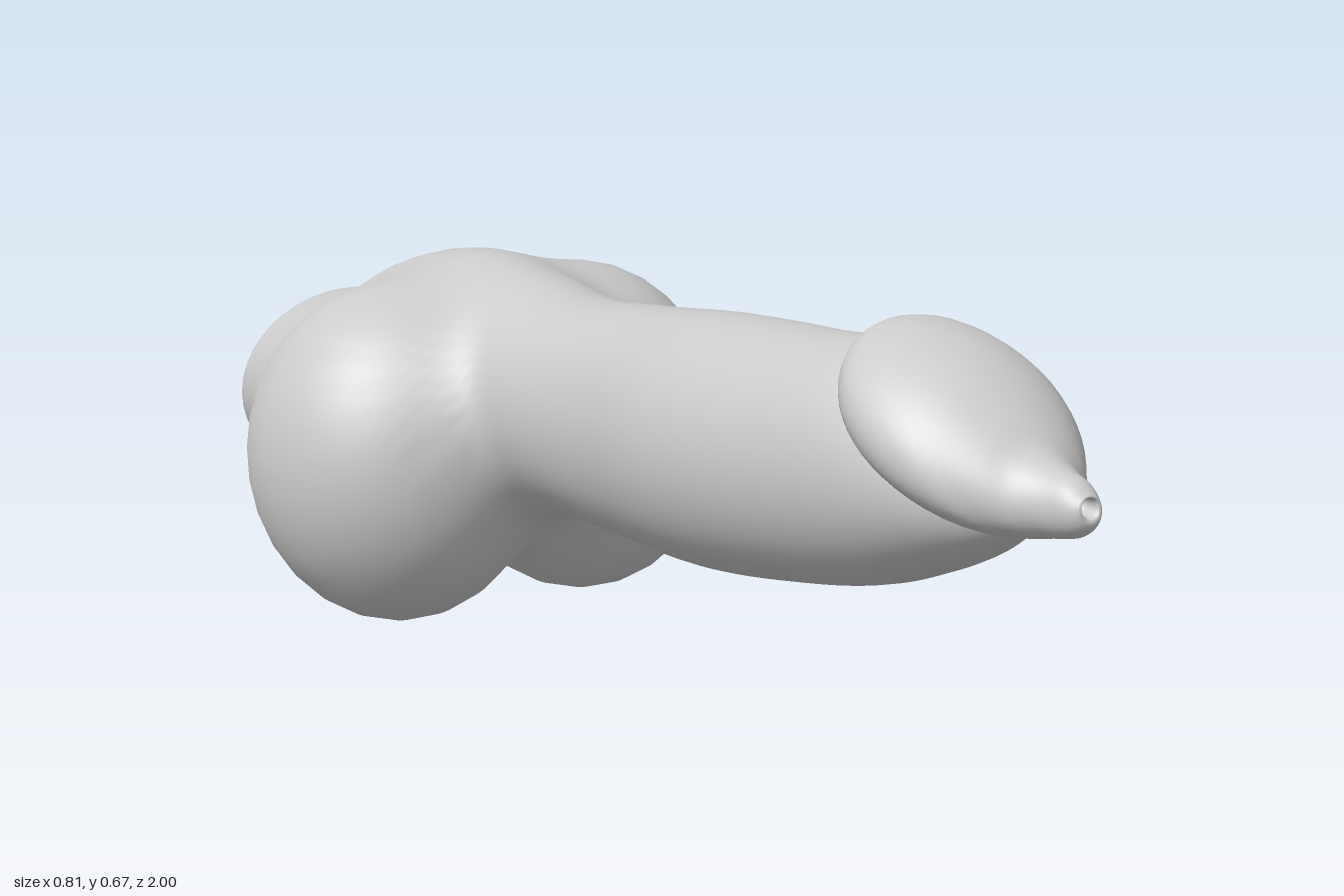
import * as THREE from 'three';

const SIDES = 48;

// Closed skin over rings of points, with a fan at each end
function loft(rings, name) {
  const pos = [], idx = [], n = SIDES, last = (rings.length - 1) * n;
  for (const ring of rings) for (const p of ring) pos.push(p.x, p.y, p.z);
  for (let i = 0; i < rings.length - 1; i++) {
    for (let j = 0; j < n; j++) {
      const a = i * n + j, b = i * n + (j + 1) % n;
      idx.push(a, b, a + n, b, b + n, a + n);
    }
  }
  const addCentre = (ring) => {
    const c = new THREE.Vector3();
    ring.forEach((p) => c.add(p));
    c.divideScalar(n);
    pos.push(c.x, c.y, c.z);
    return pos.length / 3 - 1;
  };
  const start = addCentre(rings[0]), end = addCentre(rings[rings.length - 1]);
  for (let j = 0; j < n; j++) {
    const k = (j + 1) % n;
    idx.push(start, k, j, end, last + j, last + k);
  }
  const geo = new THREE.BufferGeometry();
  geo.setAttribute('position', new THREE.Float32BufferAttribute(pos, 3));
  geo.setIndex(idx);
  geo.computeVertexNormals();
  const mesh = new THREE.Mesh(geo, new THREE.MeshStandardMaterial({ color: 0xcccccc }));
  mesh.name = name;
  return mesh;
}

// Smooth curve through rows of [t, ...values]
function spline(rows) {
  const size = rows[0].length - 1;
  const curve = new THREE.CubicInterpolant(
    rows.map((r) => r[0]), rows.flatMap((r) => r.slice(1)), size, new Float32Array(size));
  return (t) => Array.from(curve.evaluate(t));
}

// Central body: z, top, bottom, half width
const core = spline([
  [-1.0, 0.44, 0.12, 0.2], [-0.9, 0.46, 0.11, 0.212], [-0.8, 0.485, 0.11, 0.217],
  [-0.7, 0.54, 0.11, 0.205], [-0.5, 0.585, 0.11, 0.19], [-0.35, 0.575, 0.16, 0.175],
  [-0.2, 0.56, 0.215, 0.162], [0, 0.58, 0.22, 0.151], [0.2, 0.605, 0.227, 0.169],
  [0.4, 0.62, 0.255, 0.163], [0.6, 0.63, 0.3, 0.143], [0.7, 0.602, 0.337, 0.125],
  [0.8, 0.55, 0.385, 0.095], [0.87, 0.48, 0.432, 0.035],
]);

// Blend of the central body with a mirrored pair of round lobes
function field(x, y, z, [top, bottom, w]) {
  const h = (top - bottom) / 2;
  const a = (Math.hypot(x / w, (y - bottom - h) / h) - 1) * Math.min(w, h);
  const b = (Math.hypot((Math.abs(x) - 0.17) / 0.235, (y - 0.275) / 0.272, (z + 0.495) / 0.245) - 1) * 0.235;
  const k = 0.06, m = Math.max(k - Math.abs(a - b), 0) / k;
  return Math.min(a, b) - m * m * k / 4;
}

// Outline of the blended body at one depth, found along rays from its centre
function bodyRing(z, scale = 1) {
  const section = core(z), cy = (section[0] + section[1]) / 2;
  const lean = THREE.MathUtils.clamp((-0.8 - z) / 0.2, 0, 1) * 0.0625;
  return Array.from({ length: SIDES }, (_, j) => {
    const t = j / SIDES * Math.PI * 2, c = Math.cos(t), s = Math.sin(t);
    const f = (r) => field(r * c, cy + r * s, z, section);
    let hi = 0.6;
    while (hi > 0.01 && f(hi - 0.01) > 0) hi -= 0.01;
    let lo = hi - 0.01;
    for (let i = 0; i < 12; i++) {
      const mid = (lo + hi) / 2;
      if (f(mid) > 0) hi = mid; else lo = mid;
    }
    const r = hi * scale, y = cy + r * s;
    return new THREE.Vector3(r * c, y, z + lean * (y - 0.12));
  });
}

// Tilted oval ring from its top and bottom points and half width
function ovalRing([zt, yt, zb, yb, w]) {
  return Array.from({ length: SIDES }, (_, j) => {
    const t = j / SIDES * Math.PI * 2, s = Math.sin(t) / 2;
    return new THREE.Vector3(
      w * Math.cos(t), (yt + yb) / 2 + s * (yt - yb), (zt + zb) / 2 + s * (zt - zb));
  });
}

export function createModel() {
  const group = new THREE.Group();
  group.name = 'model';

  // Body: flat rear end, side lobes and long shaft
  const bodyRings = [bodyRing(-1, 0.5), bodyRing(-1, 0.93), bodyRing(-1, 0.985)];
  const rows = 130;
  for (let i = 0; i <= rows; i++) bodyRings.push(bodyRing(-0.994 + 1.864 * i / rows));
  group.add(loft(bodyRings, 'body'));

  // Head: rounded rim tapering to a tip with a small opening
  const profile = [
    [0.62, 0.6, 0.8, 0.46, 0.11], [0.575, 0.625, 0.815, 0.445, 0.14],
    [0.583, 0.66, 0.84, 0.435, 0.154], [0.62, 0.677, 0.87, 0.433, 0.156],
    [0.7, 0.667, 0.89, 0.435, 0.142], [0.78, 0.638, 0.905, 0.437, 0.114],
    [0.85, 0.59, 0.92, 0.44, 0.085], [0.89, 0.557, 0.94, 0.445, 0.06],
    [0.93, 0.54, 0.965, 0.45, 0.043], [0.97, 0.53, 0.985, 0.457, 0.032],
    [0.99, 0.517, 1.0, 0.47, 0.022], [0.996, 0.511, 1.0, 0.483, 0.014],
    [0.97, 0.507, 0.972, 0.487, 0.011],
  ];
  const head = spline(profile.map((p, i) => [i, ...p]));
  const headRings = [];
  for (let i = 0; i <= (profile.length - 1) * 3; i++) headRings.push(ovalRing(head(i / 3)));
  group.add(loft(headRings, 'head'));

  return group;
}
